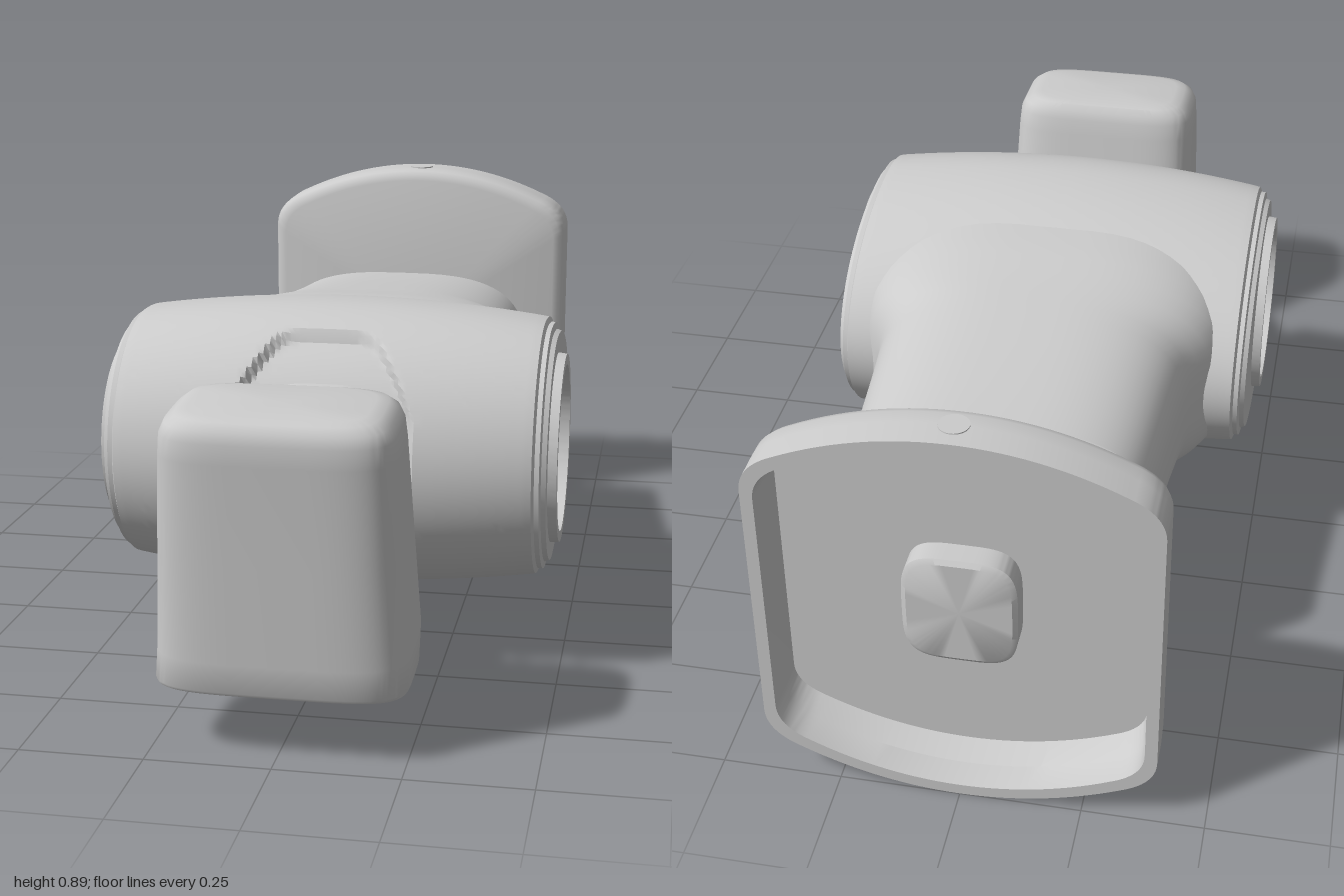
import * as THREE from 'three';
import { toCreasedNormals } from 'three/addons/utils/BufferGeometryUtils.js';

const CY = 0.448; // height of the main axis
const mat = new THREE.MeshStandardMaterial({ color: 0xcccccc });

// Skin a list of rings (equal-length arrays of Vector3, counter-clockwise about the travel direction).
function loft(rings, { caps = true, closed = false, crease = 0.6 } = {}) {
  const n = rings[0].length, pos = [], idx = [];
  rings.forEach(r => r.forEach(p => pos.push(p.x, p.y, p.z)));
  const last = closed ? rings.length : rings.length - 1;
  for (let i = 0; i < last; i++) {
    const k = (i + 1) % rings.length;
    for (let j = 0; j < n; j++) {
      const j2 = (j + 1) % n;
      const a = i * n + j, b = i * n + j2, c = k * n + j2, d = k * n + j;
      idx.push(a, b, c, a, c, d);
    }
  }
  if (caps) [0, rings.length - 1].forEach((r, end) => {
    const mid = new THREE.Vector3();
    rings[r].forEach(p => mid.addScaledVector(p, 1 / n));
    const m = pos.length / 3;
    pos.push(mid.x, mid.y, mid.z);
    for (let j = 0; j < n; j++) {
      const a = r * n + j, b = r * n + (j + 1) % n;
      if (end) idx.push(m, a, b); else idx.push(m, b, a);
    }
  });
  const g = new THREE.BufferGeometry();
  g.setAttribute('position', new THREE.Float32BufferAttribute(pos, 3));
  g.setIndex(idx);
  return toCreasedNormals(g, crease);
}

// Rounded-rectangle loop as [u, v] pairs; a higher power gives squarer corners.
function squircle(hu, hv, power, n = 72) {
  return Array.from({ length: n }, (_, i) => {
    const t = i / n * Math.PI * 2, c = Math.cos(t), s = Math.sin(t);
    return [hu * Math.sign(c) * Math.abs(c) ** (2 / power), hv * Math.sign(s) * Math.abs(s) ** (2 / power)];
  });
}

// Solid along z from rows of [z, half width, half height].
const loftZ = (rows, power) => loft(rows.map(([z, hw, hh]) =>
  squircle(hw, hh, power).map(([x, y]) => new THREE.Vector3(x, CY + y, z))));

// Depth of the arched pocket in the front of the barrel.
function pocket(x, phi) {
  const w = THREE.MathUtils.lerp(0.2, 0.13, THREE.MathUtils.smoothstep(Math.abs(phi), 0.3, 1.05));
  const p = ((Math.abs(x) / w) ** 6 + (Math.abs(phi) / 1.1) ** 6) ** (1 / 6);
  return 0.02 * (1 - THREE.MathUtils.smoothstep(p, 0.92, 1));
}

// Barrel: egg-shaped sections along x, stepped ends and a round through-hole.
function barrelGeometry() {
  const end = [[0.44, 0.273, 0.43], [0.445, 0.262, 0.415], [0.455, 0.262, 0.415], [0.458, 0.247, 0.395],
    [0.468, 0.243, 0.39], [0.468, 0.205, 0.205], [0.487, 0.203, 0.203], [0.487, 0.18, 0.18]];
  const rows = end.slice().reverse().map(([x, r, b]) => [-x, r, b]);
  for (let i = -43; i <= 43; i++) {
    const x = i / 100;
    rows.push([x, 0.307 - 0.032 * (x / 0.43) ** 2, 0.43]);
  }
  rows.push(...end);
  const n = 160;
  const rings = rows.map(([x, r, back]) => Array.from({ length: n }, (_, j) => {
    const t = j / n * Math.PI * 2, s = Math.sin(t);
    const phi = Math.atan2(Math.cos(t), s);
    const d = Math.abs(x) < 0.25 ? pocket(x, phi) : 0;
    return new THREE.Vector3(x, CY + (r - d) * Math.cos(t), 0.26 + s * (s > 0 ? r - d : back));
  }));
  return loft(rings, { caps: false, closed: true, crease: 0.5 });
}

// Wall plate: hollow dish, open at the back, with bowed top and bottom edges.
function plateGeometry() {
  const s = new THREE.Shape();
  s.moveTo(0.4, -0.28);
  s.lineTo(0.4, 0.28);
  s.quadraticCurveTo(0.4, 0.34, 0.33, 0.37);
  s.quadraticCurveTo(0.17, 0.445, 0, 0.445);
  s.quadraticCurveTo(-0.17, 0.445, -0.33, 0.37);
  s.quadraticCurveTo(-0.4, 0.34, -0.4, 0.28);
  s.lineTo(-0.4, -0.28);
  s.quadraticCurveTo(-0.4, -0.34, -0.33, -0.37);
  s.quadraticCurveTo(-0.17, -0.445, 0, -0.445);
  s.quadraticCurveTo(0.17, -0.445, 0.33, -0.37);
  s.quadraticCurveTo(0.4, -0.34, 0.4, -0.28);
  const outline = s.getPoints(14).slice(0, -1);
  // [z, inset]: inner floor, inner wall, rim, outer wall, rounded front edge
  const rows = [[-0.9, 0.035], [-0.94, 0.028], [-1, 0.025], [-1, 0], [-0.94, 0], [-0.905, 0.001],
    [-0.89, 0.006], [-0.88, 0.015], [-0.875, 0.03]];
  return loft(rows.map(([z, d]) => outline.map(p => {
    const chamfer = p.y < 0 ? 1 - 0.1 * Math.max(0, (z + 0.94) / 0.065) : 1;
    return new THREE.Vector3(p.x * (1 - d / 0.4), 0.445 + p.y * (1 - d / 0.445) * chamfer, z);
  })));
}

// Knob: rows of [y, back z, front z, half width], sheared so its ends tilt.
function knobGeometry() {
  const rows = [[0.138, 0.705, 0.968, 0.247], [0.145, 0.695, 0.972, 0.25], [0.205, 0.645, 0.975, 0.248],
    [0.4, 0.68, 0.985, 0.238], [0.6, 0.715, 0.996, 0.228], [0.64, 0.722, 0.999, 0.224],
    [0.662, 0.73, 0.993, 0.214], [0.676, 0.742, 0.98, 0.195], [0.681, 0.76, 0.962, 0.172]];
  return loft(rows.map(([y, z0, z1, hw]) => {
    const zc = (z0 + z1) / 2;
    return squircle((z1 - z0) / 2, hw, 4.5).map(([z, x]) => new THREE.Vector3(x, y - 0.07 * z, zc + z));
  }));
}

export function createModel() {
  const model = new THREE.Group();
  const add = (name, geometry) => {
    const mesh = new THREE.Mesh(geometry, mat);
    mesh.name = name;
    model.add(mesh);
    return mesh;
  };

  add('barrel', barrelGeometry());

  // Tapered arm flaring into the barrel
  add('arm', loftZ([[-0.622, 0.31, 0.198], [-0.615, 0.32, 0.206], [-0.5, 0.327, 0.214], [-0.35, 0.338, 0.229],
    [-0.25, 0.347, 0.24], [-0.21, 0.355, 0.244], [-0.18, 0.372, 0.247], [-0.15, 0.395, 0.25],
    [-0.1, 0.418, 0.256], [-0.05, 0.428, 0.263], [0, 0.432, 0.269], [0.07, 0.434, 0.272]], 3));

  // Bar running from the arm through the wall plate
  add('neckBar', loftZ([[-0.955, 0.105, 0.117], [-0.948, 0.115, 0.127], [-0.55, 0.115, 0.127]], 4));
  add('wallPlate', plateGeometry());
  add('plateScrew', new THREE.CylinderGeometry(0.03, 0.03, 0.02, 32)).position.set(0, 0.882, -0.94);

  // Clamp socket, stem and knob at the front
  add('clampSocket', loftZ([[0.46, 0.135, 0.18], [0.53, 0.128, 0.17], [0.56, 0.12, 0.163],
    [0.575, 0.095, 0.16], [0.595, 0.085, 0.155], [0.602, 0.075, 0.145]], 4));
  add('knobStem', loftZ([[0.59, 0.062, 0.092], [0.615, 0.05, 0.08], [0.76, 0.05, 0.08]], 3));
  add('knob', knobGeometry());

  return model;
}
